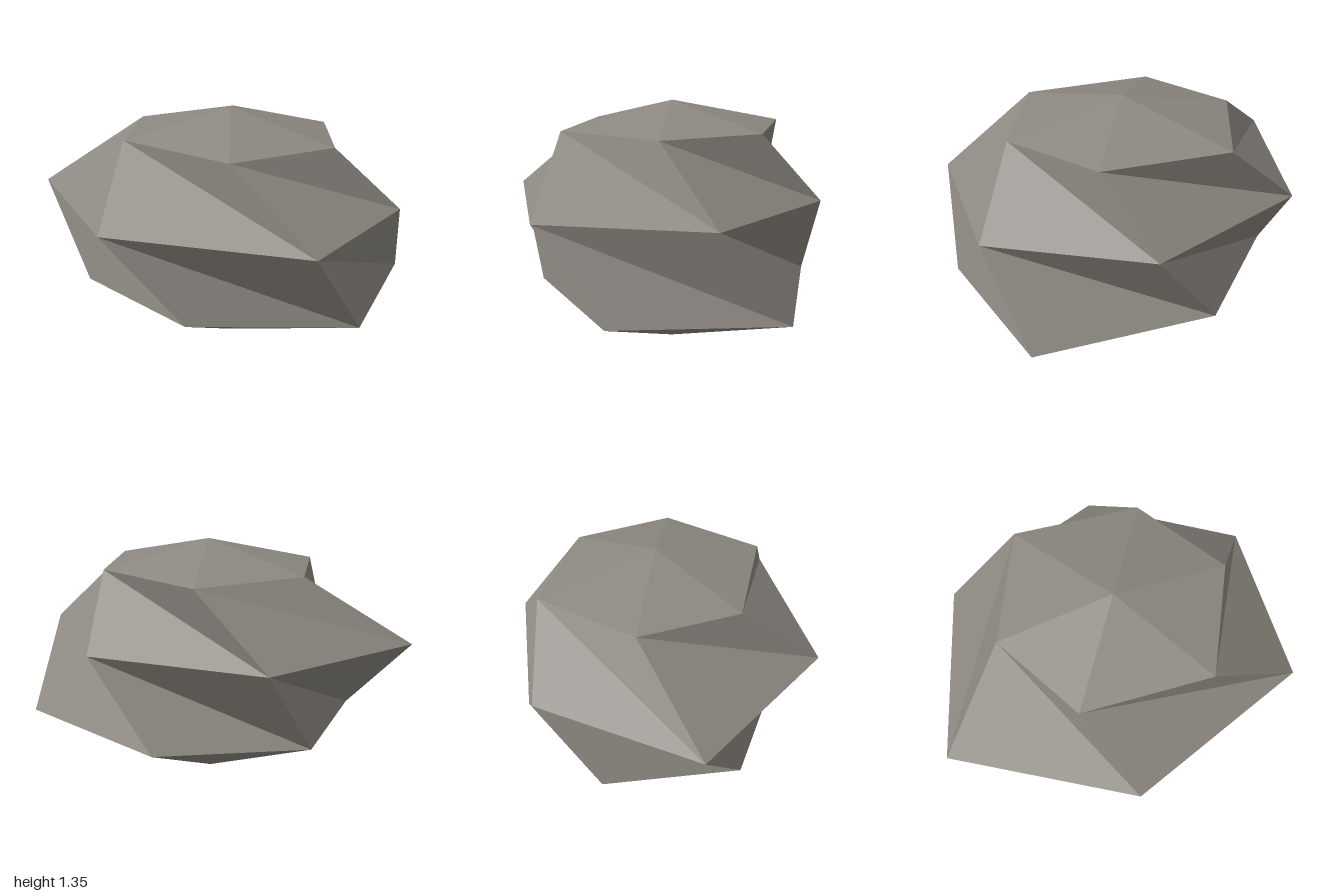
import * as THREE from 'three';

// Corner positions [x, z] of the three six-sided rings, at their heights
const RINGS = [
  { y: 1.21, pts: [[-0.52, -0.14], [-0.32, 0.38], [0.36, 0.52], [0.71, 0.02], [0.47, -0.49], [-0.18, -0.65]] },
  { y: 0.845, pts: [[-1, 0.18], [-0.2, 0.82], [0.85, 0.61], [1, -0.25], [0.34, -0.82], [-0.59, -0.66]] },
  { y: 0.375, pts: [[-0.57, 0.4], [0.19, 0.66], [0.97, 0.27], [0.92, -0.6], [-0.02, -0.8], [-0.67, -0.33]] },
];
const SIDES = 6;

function boulderGeometry() {
  const top = [0.09, 1.345, -0.05];
  const bottom = [0.09, 0, -0.05];
  const rings = RINGS.map(({ y, pts }) => pts.map(([x, z]) => [x, y, z]));
  const positions = [];
  const tri = (a, b, c) => positions.push(...a, ...b, ...c);

  for (let i = 0; i < SIDES; i++) {
    const j = (i + 1) % SIDES;
    // Crown facets
    tri(top, rings[0][i], rings[0][j]);
    // Twisted side facets between neighbouring rings
    for (let r = 0; r < rings.length - 1; r++) {
      const upper = rings[r], lower = rings[r + 1];
      tri(upper[i], lower[i], lower[j]);
      tri(upper[i], lower[j], upper[j]);
    }
    // Underside facets
    tri(bottom, rings[2][j], rings[2][i]);
  }

  const geometry = new THREE.BufferGeometry();
  geometry.setAttribute('position', new THREE.Float32BufferAttribute(positions, 3));
  geometry.computeVertexNormals();
  return geometry;
}

export function createModel() {
  const stone = new THREE.MeshStandardMaterial({ color: 0x8c8780, flatShading: true });
  stone.name = 'warm grey stone';

  const boulder = new THREE.Mesh(boulderGeometry(), stone);
  boulder.name = 'boulder';

  const model = new THREE.Group();
  model.name = 'rock';
  model.add(boulder);
  return model;
}
